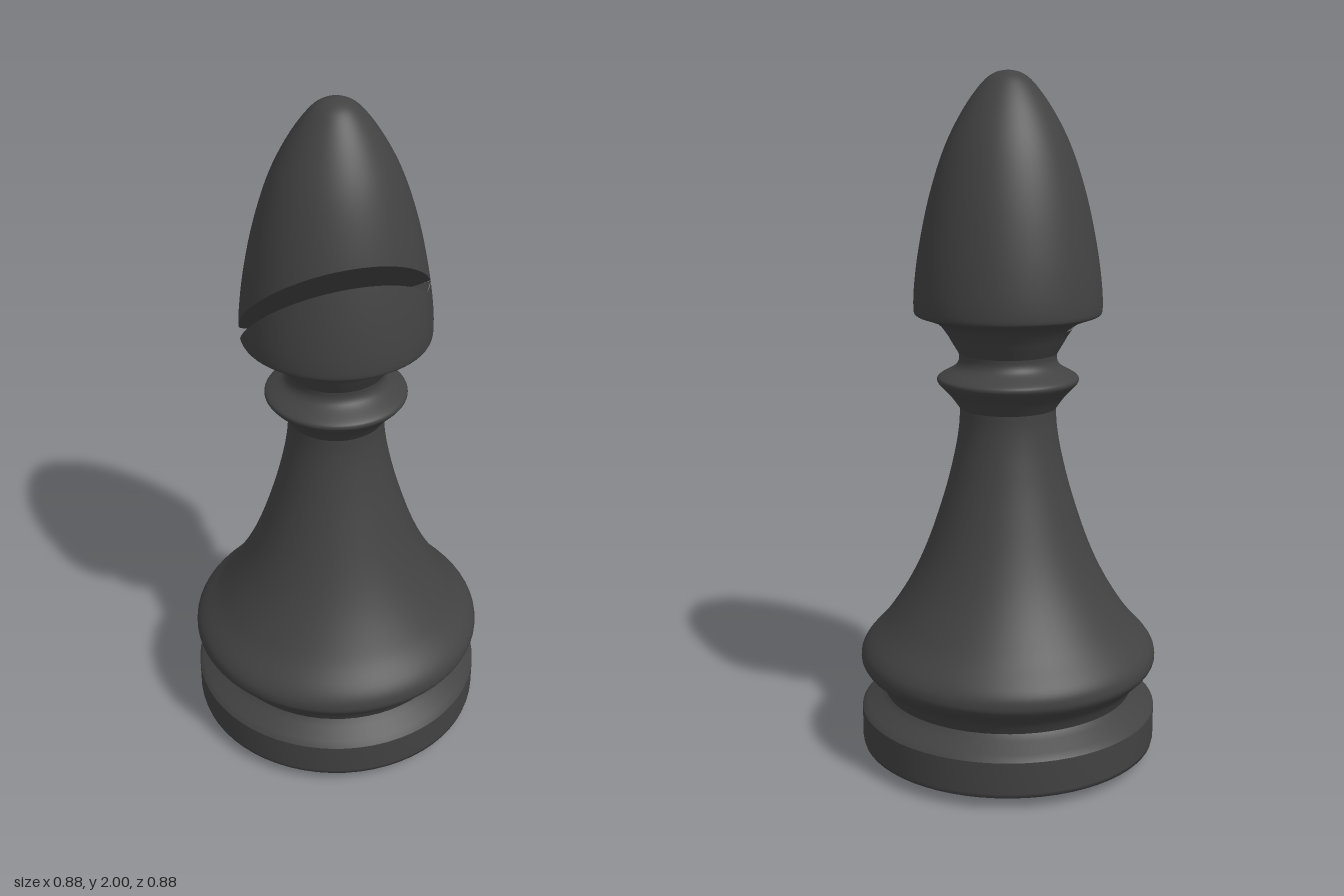
import * as THREE from 'three';

const black = new THREE.MeshStandardMaterial({ color: 0x424242 });
black.name = 'black';

const SEGMENTS = 64;
const toPoints = (list) => list.map(([r, y]) => new THREE.Vector2(r, y));
const smooth = (list, n) => new THREE.SplineCurve(toPoints(list)).getPoints(n)
  .map((p) => new THREE.Vector2(Math.max(p.x, 0), p.y));

// Slit: a wedge-shaped prism running along v, entering the head from the +u side
const SLIT = { level: 1.38, slope: 0.85, rise: 0.466, half: 0.03, end: 1.37 };
const toU = (x, z) => (z - x) * Math.SQRT1_2;
const toV = (x, z) => (z + x) * Math.SQRT1_2;
const sheared = (p) => p[1] - SLIT.rise * toV(p[0], p[2]);
const aboveMiddle = (p) => sheared(p) - SLIT.level - SLIT.slope * toU(p[0], p[2]);
const slitPlanes = [
  (p) => aboveMiddle(p) - SLIT.half,
  (p) => -aboveMiddle(p) - SLIT.half,
  (p) => SLIT.end - sheared(p),
];

// Splits a convex polygon into its parts where f > 0 and f < 0
function split(poly, f) {
  const plus = [], minus = [];
  poly.forEach((a, i) => {
    const b = poly[(i + 1) % poly.length];
    const fa = f(a), fb = f(b);
    (fa >= 0 ? plus : minus).push(a);
    if ((fa >= 0) !== (fb >= 0)) {
      const t = fa / (fa - fb);
      const c = a.map((n, k) => n + (b[k] - n) * t);
      plus.push(c);
      minus.push(c);
    }
  });
  return [plus, minus];
}

// Removes the part of a surface that lies inside the slit
function cutSlit(geometry) {
  const flat = geometry.toNonIndexed();
  const pos = flat.attributes.position, nor = flat.attributes.normal;
  const positions = [], normals = [];
  const keep = (poly) => {
    for (let i = 1; i + 1 < poly.length; i++) {
      for (const p of [poly[0], poly[i], poly[i + 1]]) {
        positions.push(p[0], p[1], p[2]);
        normals.push(p[3], p[4], p[5]);
      }
    }
  };
  for (let i = 0; i < pos.count; i += 3) {
    let rest = [i, i + 1, i + 2].map((k) => [
      pos.getX(k), pos.getY(k), pos.getZ(k), nor.getX(k), nor.getY(k), nor.getZ(k)]);
    for (const plane of slitPlanes) {
      const [outside, inside] = split(rest, plane);
      keep(outside);
      rest = inside;
    }
  }
  const out = new THREE.BufferGeometry();
  out.setAttribute('position', new THREE.Float32BufferAttribute(positions, 3));
  out.setAttribute('normal', new THREE.Float32BufferAttribute(normals, 3));
  return out;
}

// Flat inner faces of the slit, reaching out to the head's surface
function slitWalls(profile) {
  const radiusAt = (y) => {
    for (let i = 1; i < profile.length; i++) {
      const a = profile[i - 1], b = profile[i];
      if (y >= a.y && y <= b.y && b.y > a.y) return a.x + (b.x - a.x) * (y - a.y) / (b.y - a.y);
    }
    return 0;
  };
  const place = (u, v, level) =>
    [(v - u) * Math.SQRT1_2, level(u) + SLIT.rise * v, (u + v) * Math.SQRT1_2];
  const reach = (u, v, du, dv, level) => {
    let lo = 0, hi = 0.6;
    for (let i = 0; i < 30; i++) {
      const t = (lo + hi) / 2;
      const p = place(u + du * t, v + dv * t, level);
      const inside = Math.hypot(p[0], p[2]) < radiusAt(p[1]) && sheared(p) > SLIT.end - 1e-6;
      if (inside) lo = t; else hi = t;
    }
    return place(u + du * lo, v + dv * lo, level);
  };
  const positions = [];
  const steps = 120;
  for (const side of [-1, 1]) {
    const level = (u) => SLIT.level + SLIT.slope * u + side * SLIT.half;
    const centre = place(0.12, 0, level);
    const rim = (i) => {
      const a = (i / steps) * Math.PI * 2;
      return reach(0.12, 0, Math.cos(a), Math.sin(a), level);
    };
    for (let i = 0; i < steps; i++) {
      const a = rim(i), b = rim(i + 1);
      positions.push(...centre, ...(side < 0 ? [...a, ...b] : [...b, ...a]));
    }
  }
  // Closed end of the slit
  const floor = () => SLIT.end;
  const [u0, u1] = [1, -1].map((s) => (SLIT.end - SLIT.level - s * SLIT.half) / SLIT.slope);
  const [a, b] = [u0, u1].map((u) => reach(u, 0, 0, -1, floor));
  const [d, c] = [u0, u1].map((u) => reach(u, 0, 0, 1, floor));
  positions.push(...a, ...b, ...c, ...a, ...c, ...d);
  const out = new THREE.BufferGeometry();
  out.setAttribute('position', new THREE.Float32BufferAttribute(positions, 3));
  out.computeVertexNormals();
  return out;
}

export function createModel() {
  const group = new THREE.Group();
  group.name = 'chessPiece';
  const add = (name, geometry) => {
    const mesh = new THREE.Mesh(geometry, black);
    mesh.name = name;
    group.add(mesh);
  };
  const turn = (points) => new THREE.LatheGeometry(points, SEGMENTS);

  // Foot: shallow cone underneath, straight rim, sloping shoulder
  add('underside', turn(toPoints([[0, 0], [0.012, 0.014], [0.1, 0.02], [0.425, 0.032]])));
  add('footRim', turn(toPoints([[0.425, 0.032], [0.437, 0.037], [0.44, 0.05], [0.44, 0.143]])));
  add('footShoulder', turn(toPoints([[0.44, 0.143], [0.425, 0.16], [0.385, 0.18], [0.37, 0.197]])));

  // Body: rounded bulge flowing into a slender stem
  add('body', turn(smooth([
    [0.37, 0.197], [0.39, 0.235], [0.43, 0.275], [0.44, 0.305], [0.425, 0.345], [0.36, 0.42],
    [0.29, 0.53], [0.235, 0.65], [0.185, 0.8], [0.155, 0.92], [0.142, 1.0], [0.14, 1.05],
  ], 60)));

  // Collar ring and neck
  add('collar', turn(smooth([
    [0.14, 1.05], [0.165, 1.085], [0.198, 1.12], [0.205, 1.135], [0.195, 1.147],
    [0.155, 1.17], [0.142, 1.19], [0.142, 1.21],
  ], 28)));

  // Head: flared underside and pointed dome, with the slanting slit cut out
  const flare = smooth([[0.142, 1.21], [0.16, 1.24], [0.178, 1.27], [0.205, 1.3], [0.262, 1.322]], 16);
  const dome = smooth([
    [0.262, 1.322], [0.27, 1.335], [0.268, 1.4], [0.255, 1.5], [0.231, 1.62], [0.2, 1.73],
    [0.165, 1.82], [0.118, 1.905], [0.07, 1.968], [0.035, 1.993], [0, 2],
  ], 50);
  add('headFlare', cutSlit(turn(flare)));
  add('headDome', cutSlit(turn(dome)));
  add('slitWalls', slitWalls([...flare, ...dome]));
  return group;
}
